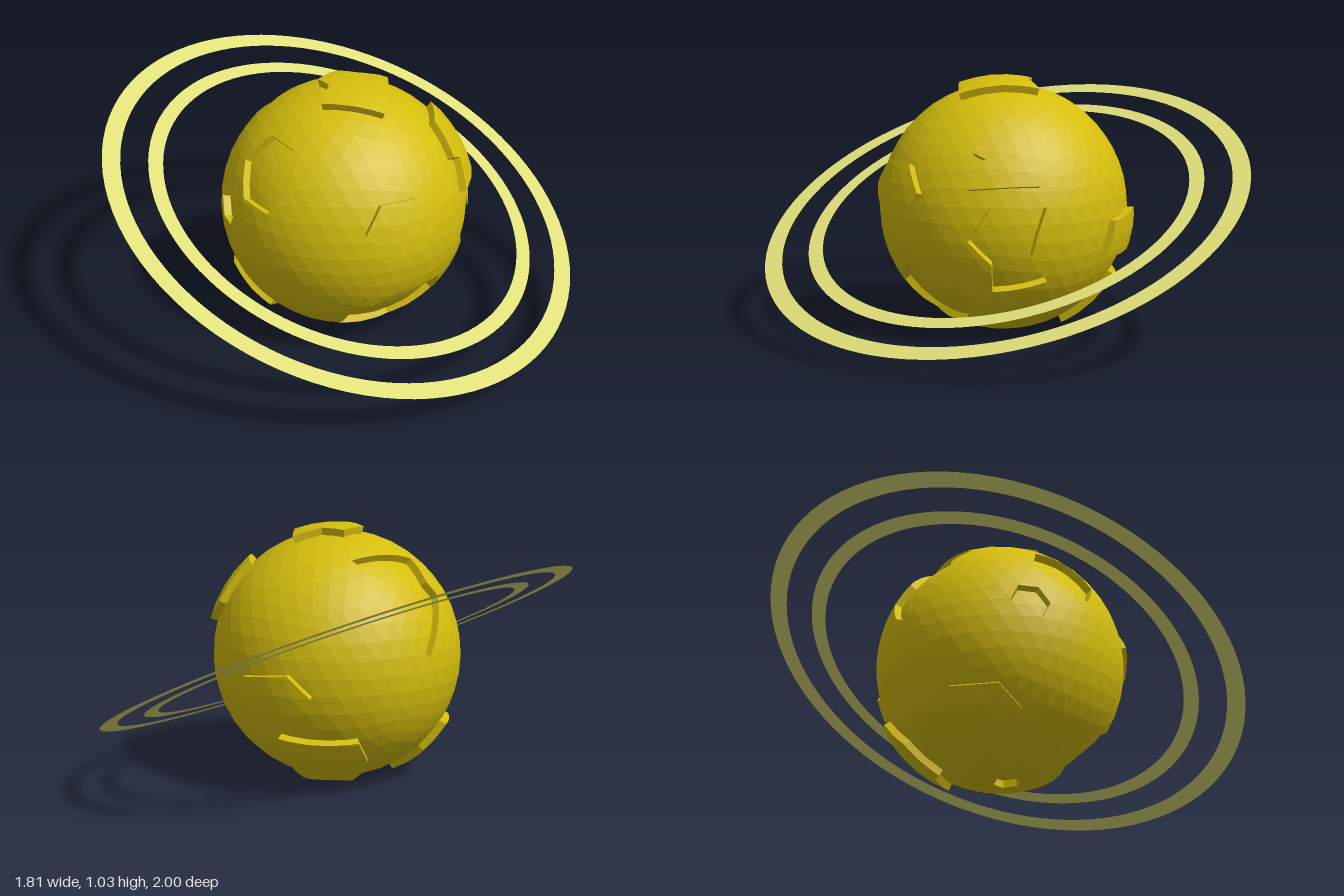
import * as THREE from 'three';

const R = 0.5, CY = 0.503, STEP = 0.06;
const V = (x, y, z) => new THREE.Vector3(x, y, z);

// Each outline is drawn along one axis: [u, v] in the plane plus the depth d on the sphere.
const lifts = {
  front: (x, y, d) => V(x, y, d),
  back: (x, y, d) => V(x, y, -d),
  right: (z, y, d) => V(d, y, z),
  left: (z, y, d) => V(-d, y, z),
  top: (x, z, d) => V(x, d, z),
  bottom: (x, z, d) => V(x, -d, z),
};

// Six-sided outline with its own width, height and spin
const hexagon = (u, v, ru, rv, spin = 0) => Array.from({ length: 6 }, (_, i) => {
  const a = spin + i * Math.PI / 3;
  return [u + ru * Math.cos(a), v + rv * Math.sin(a)];
});

// Raised plates, measured from the ball's centre
const plates = {
  polarPlate: ['top', [[0.06, -0.2], [0.24, 0.06], [0.03, 0.185], [-0.02, 0.075], [-0.1, 0.045], [-0.1, -0.075], [-0.01, -0.105]]],
  sidePlate: ['right', hexagon(0.215, 0.11, 0.14, 0.12)],
  upperPlate: ['right', [[-0.15, 0.39], [-0.29, 0.39], [-0.38, 0.23], [-0.37, 0.15], [-0.14, 0.137], [-0.18, 0.25], [-0.13, 0.27]]],
  lowerFrontPlate: ['front', [[-0.434, -0.26], [-0.33, -0.263], [-0.22, -0.343], [-0.14, -0.4], [-0.2, -0.478], [-0.36, -0.373]]],
  lowerBackPlate: ['bottom', [[-0.09, -0.457], [-0.357, -0.293], [-0.33, -0.2], [-0.195, -0.14], [-0.16, -0.2], [-0.04, -0.25]]],
  backPlate: ['back', [[0.03, -0.013], [-0.175, 0.012], [-0.257, -0.073], [-0.21, -0.153], [0.07, -0.153]]],
};

// Sunken craters
const craters = {
  largeFrontCrater: ['front', hexagon(-0.057, 0.253, 0.14, 0.13, -0.1)],
  smallFrontCrater: ['front', hexagon(-0.255, 0.07, 0.067, 0.077)],
  jaggedSideCrater: ['right', [[-0.21, 0.07], [-0.25, 0.012], [-0.38, 0.07], [-0.36, -0.03], [-0.335, -0.123],
    [-0.355, -0.23], [-0.18, -0.268], [-0.205, -0.153], [-0.13, -0.063]]],
  lowerSideCrater: ['right', hexagon(0.11, -0.308, 0.2, 0.14, 0.1)],
  upperLeftCrater: ['left', [[-0.17, 0.417], [0.125, 0.397], [0.1, 0.317], [0.13, 0.262], [-0.03, 0.057],
    [-0.1, 0.097], [-0.175, 0.212], [-0.13, 0.297]]],
  bottomCrater: ['bottom', hexagon(0, 0.04, 0.055, 0.055)],
};

// Cut a convex polygon by a plane through the sphere's centre
function split(poly, n) {
  const inside = [], outside = [];
  poly.forEach((a, i) => {
    const b = poly[(i + 1) % poly.length], da = n.dot(a), db = n.dot(b);
    if (da >= -1e-8) inside.push(a);
    if (da <= 1e-8) outside.push(a);
    if ((da > 1e-8 && db < -1e-8) || (da < -1e-8 && db > 1e-8)) {
      const p = a.clone().lerp(b, da / (da - db));
      inside.push(p);
      outside.push(p);
    }
  });
  return [inside, outside].map((p) => (p.length > 2 ? p : null));
}

// Plane of one wedge side through u and v, with w on the positive side
function plane(u, v, w) {
  const n = u.clone().cross(v).normalize();
  return n.dot(w) < 0 ? n.negate() : n;
}

// Fan of wedges around the middle of an outline; the first plane is the outer edge
function wedges(r, view, outline) {
  const pts = outline.map(([u, v]) =>
    lifts[view](u, v, Math.sqrt(Math.max(0, r * r - u * u - v * v))).normalize());
  const c = pts.reduce((s, p) => s.add(p), V(0, 0, 0)).normalize();
  return pts.map((p, i) => {
    const q = pts[(i + 1) % pts.length];
    return [plane(p, q, c), plane(c, p, q), plane(c, q, p)];
  });
}

function addPolygon(out, poly) {
  for (let i = 1; i < poly.length - 1; i++)
    for (const p of [poly[0], poly[i], poly[i + 1]]) out.push(p.x, p.y, p.z);
}

function meshFrom(name, positions, material) {
  const g = new THREE.BufferGeometry();
  g.setAttribute('position', new THREE.Float32BufferAttribute(positions, 3));
  g.computeVertexNormals();
  const mesh = new THREE.Mesh(g, material);
  mesh.name = name;
  return mesh;
}

// Cut a patch out of the ball, scale it by k and wall its outline.
// Returns the polygons left over and the positions of the patch.
function cutPatch(polys, fan, k) {
  const out = [];
  for (const planes of fan) {
    const next = [];
    for (const poly of polys) {
      let rest = poly;
      const pieces = [];
      for (const n of planes) {
        const [inside, outside] = split(rest, n);
        if (outside) pieces.push(outside);
        rest = inside;
        if (!rest) break;
      }
      if (!rest) {
        next.push(poly);
        continue;
      }
      next.push(...pieces);
      const moved = rest.map((p) => p.clone().multiplyScalar(k));
      const onEdge = rest.map((p) => Math.abs(planes[0].dot(p)) < 1e-6);
      addPolygon(out, moved);
      rest.forEach((a, i) => {
        const j = (i + 1) % rest.length;
        if (onEdge[i] && onEdge[j]) addPolygon(out, [a, rest[j], moved[j], moved[i]]);
      });
    }
    polys = next;
  }
  return [polys, out];
}

export function createModel() {
  const model = new THREE.Group();
  model.name = 'ringedPlanet';
  const planetMaterial = new THREE.MeshStandardMaterial({ color: 0xd4bd0c, flatShading: true });
  const ringMaterial = new THREE.MeshStandardMaterial({ color: 0xdede78, side: THREE.DoubleSide });

  // Faceted ball with a corner at each pole
  const ball = new THREE.IcosahedronGeometry(R, 7).rotateX(-Math.atan((1 + Math.sqrt(5)) / 2));
  const pos = ball.attributes.position;
  let polys = [];
  for (let i = 0; i < pos.count; i += 3)
    polys.push([0, 1, 2].map((k) => new THREE.Vector3().fromBufferAttribute(pos, i + k)));

  const planet = new THREE.Group();
  planet.name = 'planet';
  planet.position.y = CY;
  for (const [set, k] of [[plates, 1 + STEP], [craters, 1 - STEP]]) {
    for (const [name, [view, outline]] of Object.entries(set)) {
      const [left, out] = cutPatch(polys, wedges(R * Math.max(1, k), view, outline), k);
      polys = left;
      planet.add(meshFrom(name, out, planetMaterial));
    }
  }
  const ground = [];
  polys.forEach((p) => addPolygon(ground, p));
  planet.add(meshFrom('planetSurface', ground, planetMaterial));
  model.add(planet);

  // Two flat rings, tilted down towards +x
  const rings = new THREE.Group();
  rings.name = 'rings';
  rings.position.y = 0.505;
  rings.rotation.z = -THREE.MathUtils.degToRad(25);
  for (const [name, inner, outer] of [['innerRing', 0.757, 0.817], ['outerRing', 0.928, 1]]) {
    const ring = new THREE.Mesh(new THREE.RingGeometry(inner, outer, 96).rotateX(-Math.PI / 2), ringMaterial);
    ring.name = name;
    rings.add(ring);
  }
  model.add(rings);
  return model;
}
